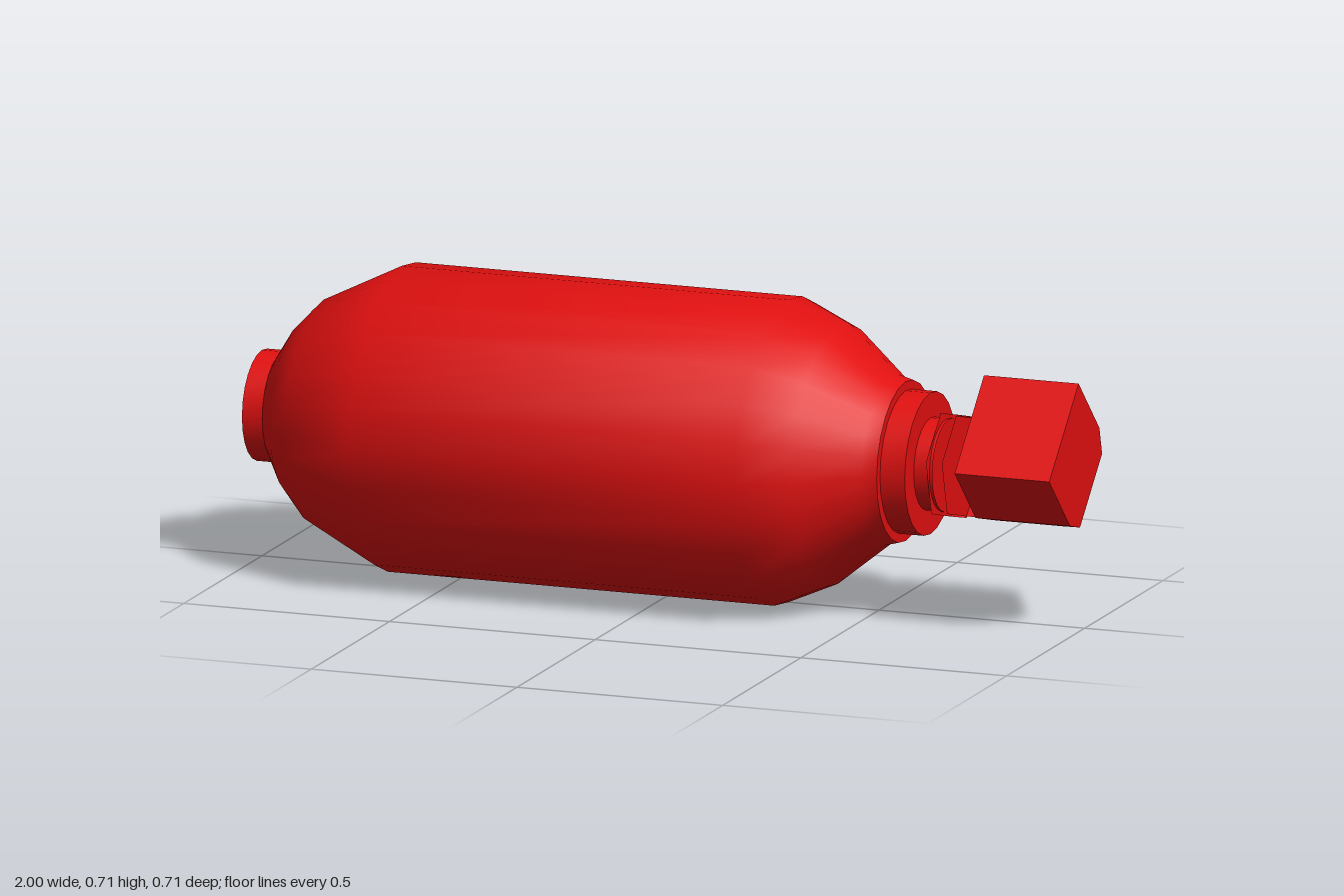
import * as THREE from 'three';
import { toCreasedNormals } from 'three/addons/utils/BufferGeometryUtils.js';

const AXIS_Y = 0.353;
const red = new THREE.MeshStandardMaterial({ color: 0xe01010 });
const redFlat = new THREE.MeshStandardMaterial({ color: 0xe01010, flatShading: true });

// Turned part along x; profile is a list of [x, radius]
function turned(name, profile) {
  const pts = profile.map(([x, r]) => new THREE.Vector2(r, x));
  const geo = new THREE.LatheGeometry(pts, 24).rotateZ(-Math.PI / 2);
  const mesh = new THREE.Mesh(toCreasedNormals(geo, 0.6), red);
  mesh.name = name;
  return mesh;
}

// Closed faceted solid from sections { x, ring: [[z, y], ...] }, counterclockwise seen from +x
function lofted(name, sections) {
  const pos = [], idx = [];
  const n = sections[0].ring.length;
  for (const { x, ring } of sections) for (const [z, y] of ring) pos.push(x, y, z);
  for (let s = 0; s < sections.length - 1; s++) {
    for (let i = 0; i < n; i++) {
      const a = s * n + i, b = s * n + (i + 1) % n;
      idx.push(a, b, a + n, b, b + n, a + n);
    }
  }
  const last = (sections.length - 1) * n;
  for (let i = 1; i < n - 1; i++) {
    idx.push(0, i + 1, i);
    idx.push(last, last + i, last + i + 1);
  }
  const geo = new THREE.BufferGeometry();
  geo.setAttribute('position', new THREE.Float32BufferAttribute(pos, 3));
  geo.setIndex(idx);
  geo.computeVertexNormals();
  const mesh = new THREE.Mesh(geo, redFlat);
  mesh.name = name;
  return mesh;
}

// Hexagon turned by 15 degrees, starting at its upper back corner
function hexagon(r) {
  return Array.from({ length: 6 }, (_, i) => {
    const a = THREE.MathUtils.degToRad(135 - 60 * i);
    return [r * Math.cos(a), r * Math.sin(a)];
  }).reverse();
}

export function createModel() {
  const group = new THREE.Group();
  group.name = 'gasCylinder';
  group.position.y = AXIS_Y;

  // Round base plug, tank and neck collars
  group.add(turned('basePlug', [[-1, 0], [-1, 0.128], [-0.94, 0.128]]));
  group.add(turned('tank', [
    [-0.95, 0], [-0.95, 0.13], [-0.905, 0.2], [-0.85, 0.258], [-0.66, 0.353],
    [0.28, 0.353], [0.4, 0.3], [0.53, 0.195], [0.565, 0.186], [0.565, 0],
  ]));
  group.add(turned('collar', [[0.56, 0.165], [0.625, 0.165], [0.625, 0]]));
  group.add(turned('neck', [[0.62, 0.107], [0.67, 0.107]]));

  // Hexagonal flange and stem
  for (const [name, x0, x1, r] of [['flange', 0.663, 0.7, 0.133], ['stem', 0.7, 0.78, 0.129]]) {
    const ring = hexagon(r);
    group.add(lofted(name, [{ x: x0, ring }, { x: x1, ring }]));
  }

  // Valve block: hexagon with one side drawn out square, and the opposite end edge bevelled
  const A = [-0.094, 0.094], B = [0.039, 0.227], C = [0.227, 0.039], D = [0.094, -0.094];
  const E = [-0.034, -0.128], F = [-0.128, -0.034];
  const mid = (p, q) => [(p[0] + q[0]) / 2, (p[1] + q[1]) / 2];
  const full = [A, B, C, D, E, F];
  const bevelled = [A, B, C, D, mid(D, E), mid(A, F)];
  group.add(lofted('valveBlock', [
    { x: 0.77, ring: full }, { x: 0.94, ring: full }, { x: 1, ring: bevelled },
  ]));

  const root = new THREE.Group();
  root.add(group);
  return root;
}
